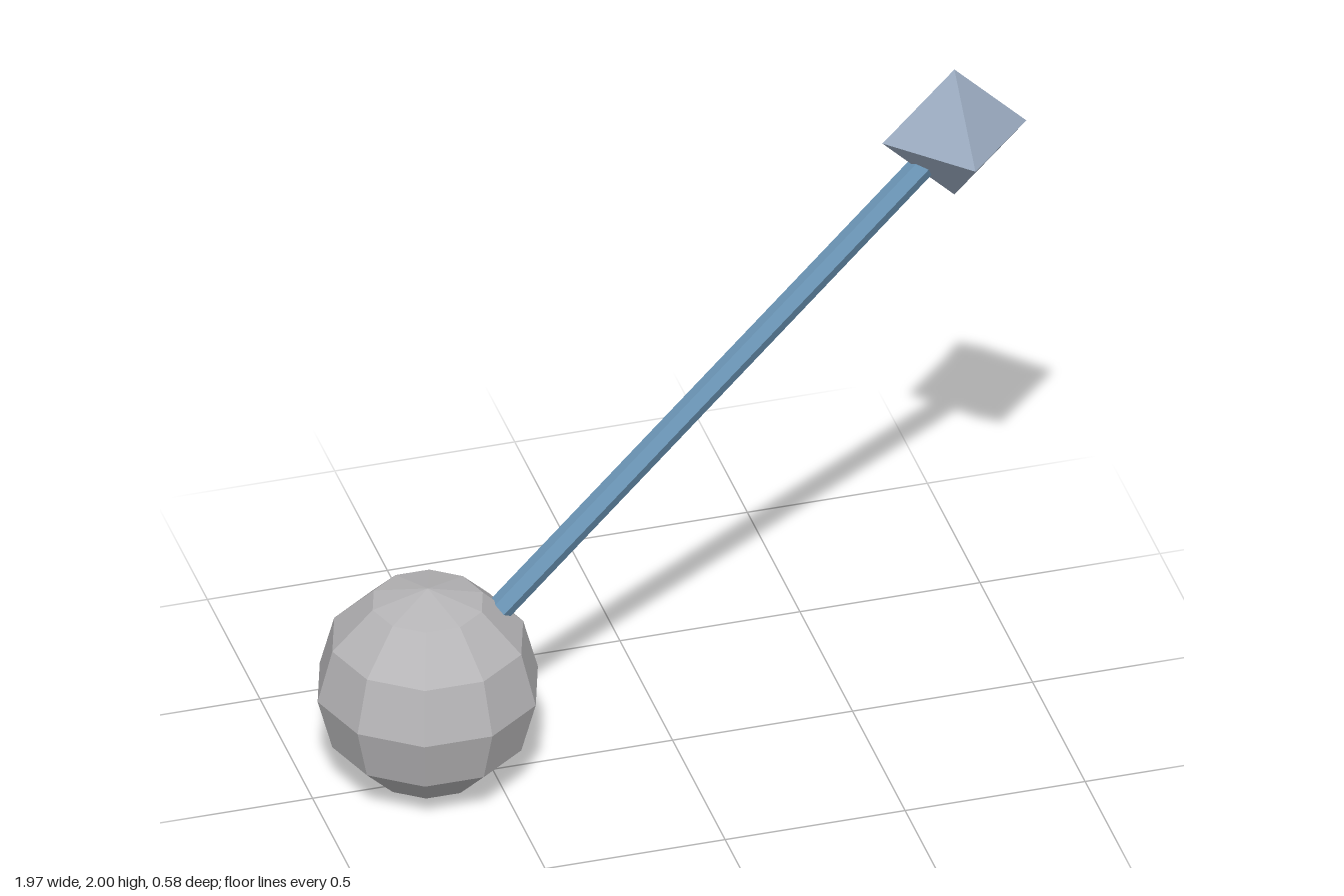
import * as THREE from 'three';

function material(name, color) {
  const m = new THREE.MeshStandardMaterial({ color, flatShading: true });
  m.name = name;
  return m;
}

export function createModel() {
  const model = new THREE.Group();
  const ballCentre = new THREE.Vector3(-0.68, 0.306, 0);
  const tipCentre = new THREE.Vector3(0.783, 1.8, 0);

  const add = (name, geometry, mat, position) => {
    const mesh = new THREE.Mesh(geometry, mat);
    mesh.name = name;
    mesh.position.copy(position);
    model.add(mesh);
    return mesh;
  };

  // Faceted ball at the base
  add('ball', new THREE.SphereGeometry(0.306, 10, 6), material('grey', 0xb6b5b7), ballCentre);

  // Eight-sided gem at the tip
  add('gem', new THREE.OctahedronGeometry(0.2), material('pale blue grey', 0x9aaabf), tipCentre);

  // Hexagonal rod running between the two centres
  const axis = tipCentre.clone().sub(ballCentre);
  const rod = add(
    'rod',
    new THREE.CylinderGeometry(0.035, 0.035, axis.length(), 6),
    material('steel blue', 0x6c97b8),
    ballCentre.clone().add(tipCentre).multiplyScalar(0.5)
  );
  rod.rotation.z = -Math.atan2(axis.x, axis.y);

  return model;
}
